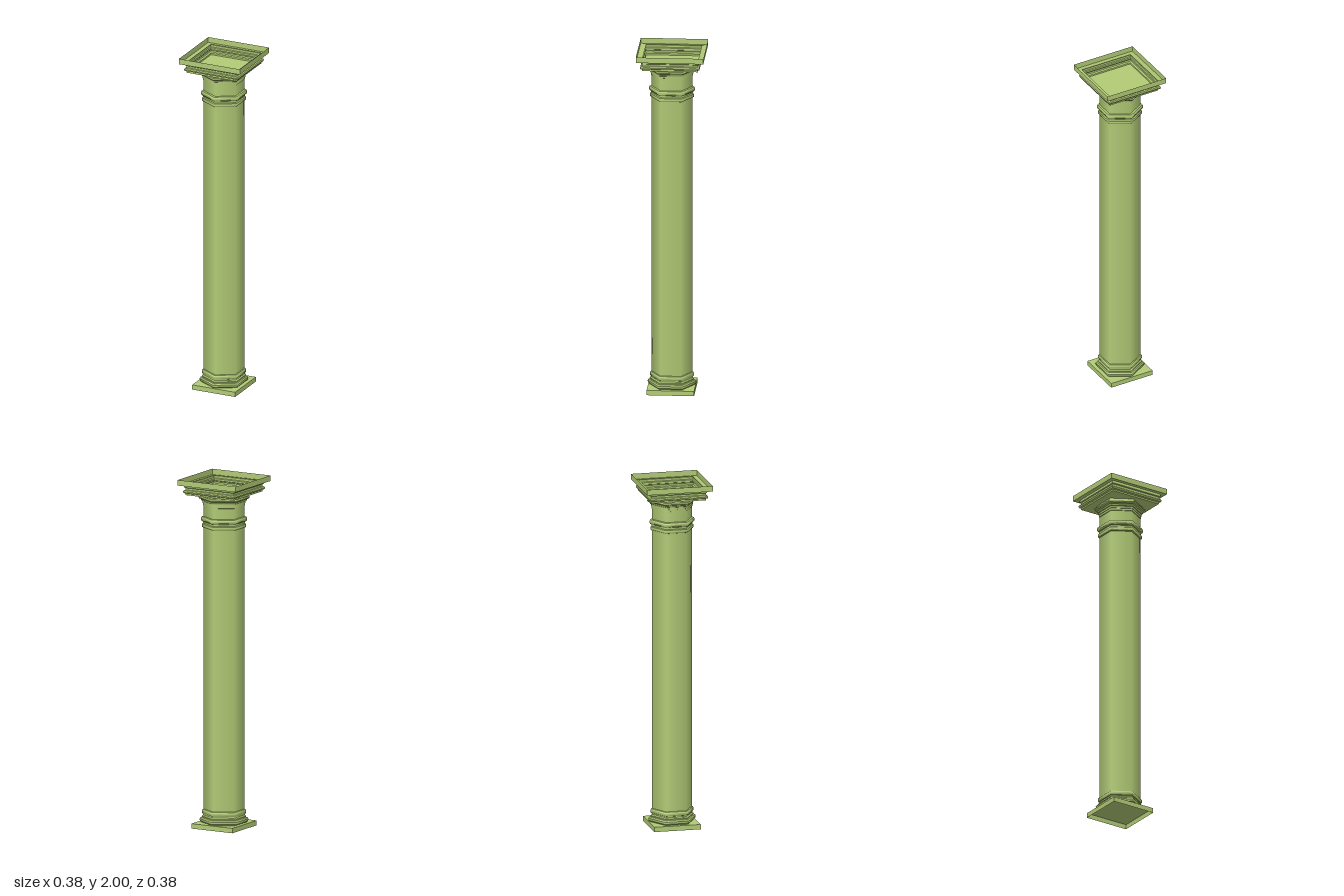
import * as THREE from 'three';
import { mergeGeometries } from 'three/addons/utils/BufferGeometryUtils.js';

const smoothMat = new THREE.MeshStandardMaterial({ color: 0xb2cb76, side: THREE.DoubleSide });
const flatMat = smoothMat.clone();
flatMat.flatShading = true;

// Stack of open bands through [radius, y] points, hard edges between bands
function bands(profile, sides, turn = 0) {
  const parts = [];
  for (let i = 0; i < profile.length - 1; i++) {
    const [r0, y0] = profile[i], [r1, y1] = profile[i + 1];
    const g = new THREE.CylinderGeometry(r1, r0, y1 - y0, sides, 1, true, turn);
    g.translate(0, (y0 + y1) / 2, 0);
    parts.push(g);
  }
  return mergeGeometries(parts);
}

export function createModel() {
  const group = new THREE.Group();

  function add(name, geometry, material) {
    const mesh = new THREE.Mesh(geometry, material);
    mesh.name = name;
    group.add(mesh);
  }
  const hexPart = (name, profile) => add(name, bands(profile, 6), smoothMat);
  // Square parts take half widths instead of radii
  const squarePart = (name, profile) =>
    add(name, bands(profile.map(([h, y]) => [h * Math.SQRT2, y]), 4, Math.PI / 4), flatMat);
  const slab = (name, half, y) => {
    const g = new THREE.PlaneGeometry(half * 2, half * 2);
    g.rotateX(-Math.PI / 2).translate(0, y, 0);
    add(name, g, flatMat);
  };

  // Plinth, hollow underneath
  squarePart('plinth', [[0.134, 0], [0.134, 0.028]]);
  slab('plinthTop', 0.134, 0.028);

  // Base mouldings
  hexPart('baseMoulding', [
    [0.128, 0.028], [0.136, 0.036], [0.137, 0.048], [0.132, 0.056], [0.125, 0.058],
    [0.125, 0.064], [0.118, 0.07], [0.117, 0.076], [0.122, 0.078], [0.125, 0.086],
    [0.125, 0.094], [0.121, 0.102], [0.115, 0.104]]);

  // Hexagonal shaft
  hexPart('shaft', [[0.115, 0.07], [0.115, 1.86]]);

  // Double ring around the neck
  hexPart('neckRing', [
    [0.115, 1.715], [0.122, 1.717], [0.125, 1.724], [0.124, 1.736], [0.118, 1.74],
    [0.118, 1.75], [0.125, 1.752], [0.13, 1.76], [0.13, 1.77], [0.126, 1.778], [0.115, 1.78]]);

  // Mouldings flaring out under the square capital
  hexPart('capitalMoulding', [
    [0.115, 1.842], [0.119, 1.843], [0.119, 1.855], [0.122, 1.856], [0.122, 1.867],
    [0.126, 1.869], [0.13, 1.878], [0.14, 1.882], [0.144, 1.889], [0.142, 1.897],
    [0.134, 1.9], [0.13, 1.911]]);

  // Capital, an open shell with a sunken floor
  slab('capitalFloor', 0.157, 1.911);
  squarePart('capitalSteps', [
    [0.157, 1.911], [0.157, 1.92], [0.166, 1.924], [0.168, 1.932], [0.165, 1.939],
    [0.158, 1.942], [0.158, 1.952], [0.163, 1.956], [0.163, 1.964], [0.157, 1.974]]);
  squarePart('abacus', [[0.157, 1.974], [0.19, 1.968], [0.19, 2]]);

  return group;
}
